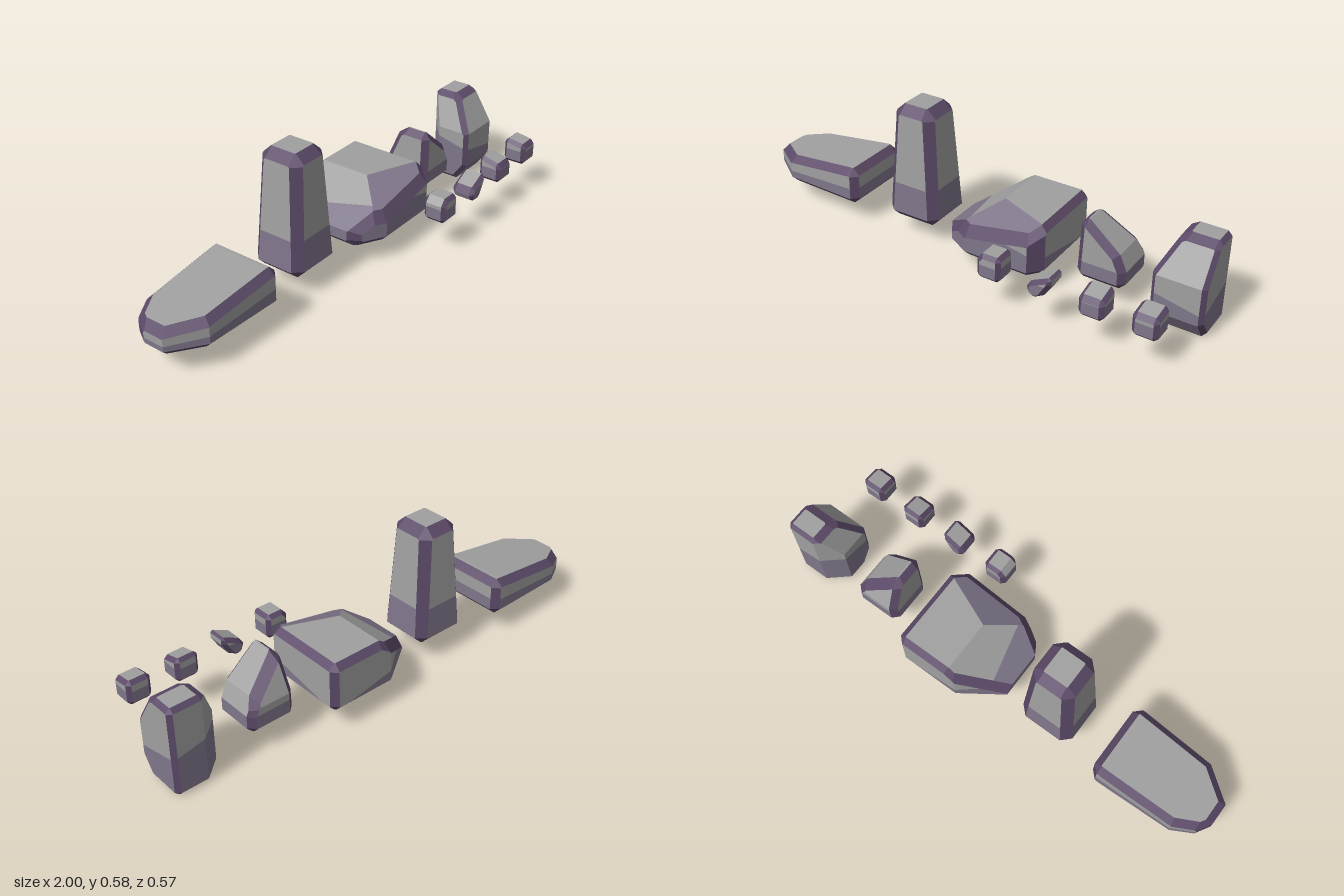
import * as THREE from 'three';

const mat = (name, color) => Object.assign(new THREE.MeshStandardMaterial({ color }), { name });
const V = (x, y, z) => new THREE.Vector3(x, y, z);
const GREY = 0, MAUVE = 1, EDGE = 2;

// Keep the part of a polygon where n.p <= d; points landing on the plane go to rim
function clipPoly(pts, n, d, rim = []) {
  const out = [];
  pts.forEach((a, i) => {
    const b = pts[(i + 1) % pts.length];
    const da = n.dot(a) - d, db = n.dot(b) - d;
    if (da <= 1e-7) out.push(a);
    if (Math.abs(da) <= 1e-7) rim.push(a);
    else if (da * db < 0 && Math.abs(db) > 1e-7) {
      const p = a.clone().lerp(b, da / (da - db));
      out.push(p);
      rim.push(p);
    }
  });
  return out.length > 2 ? out : null;
}

// Slice a convex solid with a plane and cap the opening
function slice(faces, n, d, colour) {
  if (!faces.some((f) => f.pts.some((p) => n.dot(p) - d > 1e-6))) return faces;
  const rim = [], result = [];
  for (const f of faces) {
    const pts = clipPoly(f.pts, n, d, rim);
    if (pts) result.push({ ...f, pts });
  }
  const cap = rim.filter((p, i) => rim.findIndex((q) => q.distanceTo(p) < 1e-5) === i);
  if (cap.length < 3) return result;
  const c = cap.reduce((s, p) => s.add(p), V(0, 0, 0)).divideScalar(cap.length);
  const u = cap[0].clone().sub(c).normalize(), w = n.clone().cross(u);
  const angle = (p) => Math.atan2(p.clone().sub(c).dot(w), p.clone().sub(c).dot(u));
  cap.sort((a, b) => angle(a) - angle(b));
  result.push({ pts: cap, n, colour });
  return result;
}

// Axis-aligned block as outward facing quads
function block(lo, hi, base) {
  const faces = [];
  for (let axis = 0; axis < 3; axis++) for (const s of [-1, 1]) {
    const corner = (a, b) => {
      const p = [0, 0, 0];
      p[axis] = (s > 0 ? hi : lo)[axis];
      p[(axis + 1) % 3] = (a ? hi : lo)[(axis + 1) % 3];
      p[(axis + 2) % 3] = (b ? hi : lo)[(axis + 2) % 3];
      return V(...p);
    };
    const pts = [corner(0, 0), corner(1, 0), corner(1, 1), corner(0, 1)];
    if (s < 0) pts.reverse();
    const n = V(0, 0, 0).setComponent(axis, s);
    faces.push({ pts, n, colour: axis === 1 && s < 0 ? base : GREY });
  }
  return faces;
}

// Chamfer every sharp edge and corner
function chamfer(faces, w) {
  const has = (f, p) => f.pts.some((q) => q.distanceTo(p) < 1e-5);
  const planes = [], sharp = (a, b) => a.n.dot(b.n) < 0.55;
  faces.forEach((a, i) => faces.slice(i + 1).forEach((b) => {
    const shared = a.pts.filter((p) => has(b, p));
    if (shared.length < 2 || !sharp(a, b)) return;
    const n = a.n.clone().add(b.n).normalize();
    planes.push([n, n.dot(shared[0]) - w]);
  }));
  const seen = [];
  for (const f of faces) for (const p of f.pts) {
    if (seen.some((q) => q.distanceTo(p) < 1e-5)) continue;
    seen.push(p);
    const around = faces.filter((g) => has(g, p));
    if (around.some((a, i) => around.slice(i + 1).some((b) => !sharp(a, b)))) continue;
    const n = around.reduce((s, g) => s.add(g.n), V(0, 0, 0)).normalize();
    planes.push([n, n.dot(p) - w * 1.7]);
  }
  return planes.reduce((s, [n, d]) => slice(s, n, d, EDGE), faces);
}

// A cut is [view, a0, b0, a1, b1, colour] (line in a view) or [point, point, point, colour]
function cutPlane(cut, centre) {
  let n, p;
  if (typeof cut[0] === 'string') {
    const [view, a0, b0, a1, b1] = cut;
    p = V(0, 0, 0);
    n = V(0, 0, 0);
    p[view[0]] = a0; p[view[1]] = b0;
    n[view[0]] = b1 - b0; n[view[1]] = a0 - a1;
  } else {
    p = V(...cut[0]);
    n = V(...cut[1]).sub(p).cross(V(...cut[2]).sub(p));
  }
  n.normalize();
  if (n.dot(centre) > n.dot(p)) n.negate();
  return [n, n.dot(p)];
}

// split [h, sx, sz]: faces turn mauve below y = h + sx * x + sz * z
function rock(name, lo, hi, cuts, { bevel, split, base = EDGE }, materials) {
  const centre = V(...lo).add(V(...hi)).multiplyScalar(0.5);
  let faces = block(lo, hi, base);
  for (const cut of cuts) {
    const colour = cut[typeof cut[0] === 'string' ? 5 : 3] ?? GREY;
    faces = slice(faces, ...cutPlane(cut, centre), colour);
  }
  faces = chamfer(faces, bevel);

  const buckets = [[], [], []];
  const add = (pts, colour) => {
    if (!pts) return;
    for (let i = 1; i < pts.length - 1; i++) buckets[colour].push(pts[0], pts[i], pts[i + 1]);
  };
  const up = V(-split[1], 1, -split[2]);
  for (const f of faces) {
    if (f.colour !== GREY) { add(f.pts, f.colour); continue; }
    add(clipPoly(f.pts, up, split[0]), MAUVE);
    add(clipPoly(f.pts, up.clone().negate(), -split[0]), GREY);
  }
  const geo = new THREE.BufferGeometry().setFromPoints(buckets.flat());
  geo.computeVertexNormals();
  let start = 0;
  buckets.forEach((b, i) => { geo.addGroup(start, b.length, i); start += b.length; });
  const mesh = new THREE.Mesh(geo, materials);
  mesh.name = name;
  return mesh;
}

export function createModel() {
  const group = new THREE.Group();
  group.name = 'rockSet';
  const materials = [mat('stoneGrey', 0xa0a0a0), mat('shadedMauve', 0x7f768a), mat('edgePurple', 0x5c4a68)];
  const add = (...args) => group.add(rock(...args, materials));

  // Low sloping slab
  add('slabRock', [-1, 0.09, -0.245], [-0.515, 0.252, 0.065], [
    ['xy', -1, 0.2, -0.53, 0.255],
    ['xz', -1, -0.17, -0.88, -0.235], ['xz', -0.88, -0.235, -0.575, -0.245],
    ['xz', -1, -0.04, -0.87, 0.053], ['xz', -0.87, 0.053, -0.515, 0.066],
  ], { bevel: 0.02, split: [0.2, 0.06, 0], base: MAUVE });

  // Tall tapered pillar
  add('pillarRock', [-0.38, 0.085, -0.2], [-0.14, 0.585, 0.033], [
    ['xy', -0.38, 0.1, -0.35, 0.57], ['xy', -0.14, 0.1, -0.17, 0.57],
    ['zy', 0.033, 0.1, 0.013, 0.565], ['zy', -0.2, 0.1, -0.175, 0.565],
  ], { bevel: 0.025, split: [0.25, 0, 0] });

  // Broad boulder sloping down to one side
  add('boulderRock', [-0.065, 0.085, -0.287], [0.38, 0.295, 0.118], [
    ['xy', -0.065, 0.155, 0.14, 0.293],
    ['xz', -0.065, -0.17, 0.1, -0.285], ['xz', -0.065, 0.05, 0.053, 0.115],
    [[0.14, 0.293, -0.04], [0.36, 0.275, 0.09], [0.065, 0.23, 0.065], MAUVE],
    ['xz', 0.38, 0.06, 0.335, 0.118, EDGE],
  ], { bevel: 0.018, split: [0.23, -0.2, 0.2] });

  // Wedge with a slanted top
  add('wedgeRock', [0.48, 0.09, -0.19], [0.68, 0.345, 0.01], [
    ['xy', 0.52, 0.345, 0.65, 0.235], ['xy', 0.65, 0.235, 0.68, 0.17],
    ['xy', 0.48, 0.12, 0.488, 0.345], ['zy', -0.19, 0.2, -0.13, 0.345],
  ], { bevel: 0.018, split: [0.17, 0, 0] });

  // Upright rock with sloped shoulders
  add('uprightRock', [0.79, 0, -0.19], [1, 0.375, 0.022], [
    ['xy', 0.79, 0.235, 0.855, 0.375], ['zy', 0.022, 0.23, -0.07, 0.375],
    ['zy', -0.03, 0, 0.022, 0.075], ['xz', 0.79, -0.12, 0.87, -0.19],
  ], { bevel: 0.012, split: [0.32, -0.2, -0.25], base: MAUVE });

  // Row of pebbles in front
  const pebbles = [
    [0.265, [['xy', 0.215, 0.22, 0.24, 0.25]]],
    [0.475, [['xy', 0.427, 0.2, 0.515, 0.243], ['xy', 0.435, 0.145, 0.427, 0.17], ['xy', 0.485, 0.145, 0.523, 0.21]]],
    [0.685, [['zy', 0.28, 0.225, 0.18, 0.25]]],
    [0.89, [['zy', 0.28, 0.235, 0.18, 0.25]]],
  ];
  pebbles.forEach(([x, cuts], i) => add('pebble' + (i + 1),
    [x - 0.05, 0.142, 0.18], [x + 0.05, 0.248, 0.28], cuts,
    { bevel: 0.011, split: [0.205, 0, 0] }));
  return group;
}
